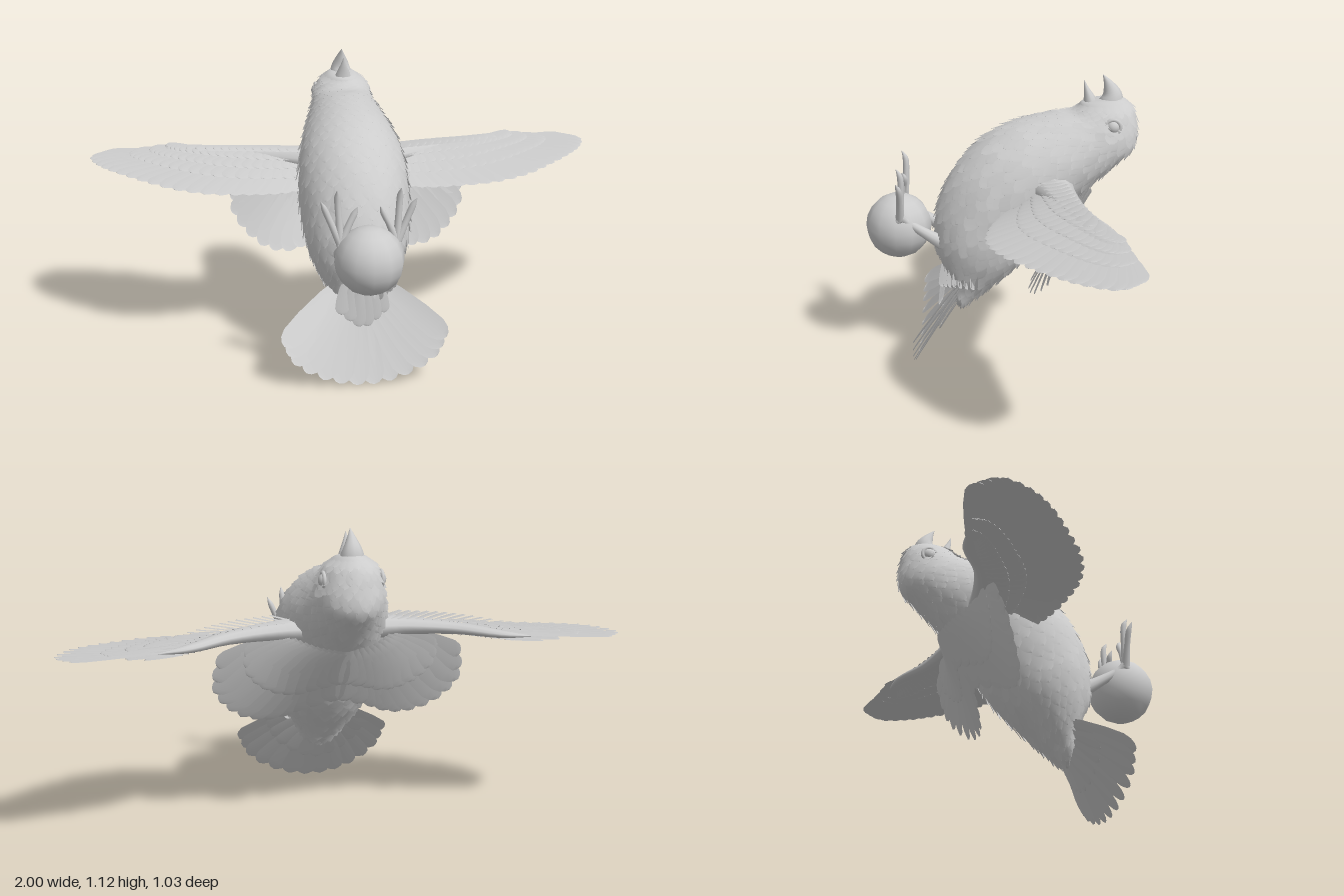
import * as THREE from 'three';
import { mergeGeometries, mergeVertices } from 'three/addons/utils/BufferGeometryUtils.js';

const V = (x, y, z) => new THREE.Vector3(x, y, z);
const curve = (pts, s = 1) => new THREE.CatmullRomCurve3(pts.map(p => V(p[0] * s, p[1], p[2])));
const solid = new THREE.MeshStandardMaterial({ color: 0xcccccc });
const thin = new THREE.MeshStandardMaterial({ color: 0xcccccc, side: THREE.DoubleSide });

// Grid surface from fn(u, v), outward side is du x dv
function surface(fn, nu, nv) {
  const pos = [], idx = [];
  for (let i = 0; i <= nu; i++)
    for (let j = 0; j <= nv; j++) pos.push(...fn(i / nu, j / nv).toArray());
  for (let i = 0; i < nu; i++)
    for (let j = 0; j < nv; j++) {
      const a = i * (nv + 1) + j, b = a + nv + 1;
      idx.push(a, b, a + 1, b, b + 1, a + 1);
    }
  let g = new THREE.BufferGeometry();
  g.setAttribute('position', new THREE.Float32BufferAttribute(pos, 3));
  g.setIndex(idx);
  g = mergeVertices(g, 1e-5);
  g.computeVertexNormals();
  return g;
}

// Tapered tube: radii along the path, flattened towards 'up'
function taper(pts, radii, s = 1, up = V(0, 0, 1), flat = 1, nv = 10) {
  const c = curve(pts, s);
  const r = curve(radii.map((q, i) => [q, i, 0]));
  return surface((u, v) => {
    const t = c.getTangent(u), n = up.clone().addScaledVector(t, -up.dot(t)).normalize();
    const b = n.clone().cross(t), a = v * Math.PI * 2, q = Math.max(r.getPoint(u).x, 0.0005);
    return c.getPoint(u).addScaledVector(n, Math.cos(a) * q * flat).addScaledVector(b, Math.sin(a) * q);
  }, 16, nv);
}

// Long feather blade with a rounded tip, slightly ridged and tilted so neighbours overlap
const BLADE = [[0, 0.35], [0.25, 0.75], [0.6, 1], [0.85, 1], [0.94, 0.75], [0.985, 0.4], [1, 0.05]];
function blade(base, tip, width, up, tilt) {
  const d = tip.clone().sub(base), side = up.clone().cross(d).normalize();
  const n = d.clone().cross(side).normalize();
  return surface((u, v) => {
    const [t, w] = BLADE[Math.round(u * 6)], k = v * 2 - 1;
    return base.clone().addScaledVector(d, t).addScaledVector(side, k * w * width / 2)
      .addScaledVector(n, k * w * tilt + (1 - k * k) * 0.003);
  }, 6, 2);
}

// Row of blades between a base curve and a tip curve
function fan(bases, tips, n, width, up, s = 1, lift = 0) {
  const a = curve(bases, s), b = curve(tips, s), list = [], off = up.clone().multiplyScalar(lift);
  for (let i = 0; i < n; i++) {
    const t = i / (n - 1);
    list.push(blade(a.getPoint(t).add(off), b.getPoint(t).add(off), width, up, 0.005 * s));
  }
  return mergeGeometries(list);
}

// Body sections: belly z, y, back z, y, half width
const SECTIONS = [
  [-0.36, 1.03, -0.38, 1.03, 0.004], [-0.3, 1.02, -0.45, 1.035, 0.05], [-0.285, 1.0, -0.485, 1.0, 0.085],
  [-0.265, 0.985, -0.5, 0.93, 0.105], [-0.22, 0.98, -0.495, 0.85, 0.118], [-0.15, 0.965, -0.43, 0.785, 0.14],
  [-0.05, 0.935, -0.35, 0.715, 0.17], [0.05, 0.88, -0.265, 0.635, 0.195], [0.135, 0.8, -0.195, 0.53, 0.205],
  [0.2, 0.7, -0.13, 0.44, 0.2], [0.24, 0.58, -0.06, 0.37, 0.185], [0.245, 0.46, 0.02, 0.3, 0.145],
  [0.21, 0.37, 0.09, 0.24, 0.1], [0.18, 0.28, 0.14, 0.2, 0.065], [0.17, 0.22, 0.165, 0.19, 0.01]];
const belly = curve(SECTIONS.map(q => [q[4], q[1], q[0]]));
const back = curve(SECTIONS.map(q => [0, q[3], q[2]]));
function bodyPoint(u, v, lift = 0) {
  const f = belly.getPoint(u), b = back.getPoint(u), w = f.x, a = v * Math.PI * 2;
  f.x = 0;
  const c = f.clone().add(b).multiplyScalar(0.5), h = f.sub(c);
  const o = h.multiplyScalar(Math.cos(a)).add(V(Math.sin(a) * w, 0, 0));
  const len = o.length();
  return c.addScaledVector(o, (len + lift) / Math.max(len, 1e-4));
}

// Overlapping scale feathers over the whole body
function plumage() {
  const rows = 36, list = [];
  let seed = 7;
  const rnd = () => (seed = (seed * 16807) % 2147483647) / 2147483647;
  const shape = [0.9, 1, 0.95, 0.6, 0.05];
  for (let r = 0; r < rows; r++) {
    const u0 = 0.1 + 0.85 * r / rows, n = r < 8 ? 20 : r > 29 ? 16 : 26;
    for (let i = 0; i < n; i++) {
      const v0 = (i + (r % 2) * 0.5 + (rnd() - 0.5) * 0.3) / n;
      const len = 0.042 + rnd() * 0.016, top = 0.008 + rnd() * 0.008;
      list.push(surface((u, v) => {
        const k = v * 2 - 1, w = shape[Math.round(u * 4)];
        return bodyPoint(Math.min(u0 + len * (1 - (1 - u) ** 1.4), 1), v0 + k * w * 0.58 / n,
          -0.002 + top * u + (1 - k * k) * 0.002);
      }, 4, 2));
    }
  }
  return mergeGeometries(list);
}

export function createModel() {
  const model = new THREE.Group();
  const add = (name, geo, mat = solid, parent = model) => {
    const m = new THREE.Mesh(geo, mat);
    m.name = name;
    parent.add(m);
    return m;
  };

  add('body', surface((u, v) => bodyPoint(u, v), 56, 32));
  add('bodyFeathers', plumage(), thin);

  // Open beak pointing up
  add('upperBeak', taper([[0, 1.0, -0.405], [0, 1.045, -0.41], [0, 1.09, -0.393], [0, 1.12, -0.375]],
    [0.05, 0.037, 0.016, 0.001]));
  add('lowerBeak', taper([[0, 0.99, -0.335], [0, 1.03, -0.328], [0, 1.07, -0.315], [0, 1.1, -0.307]],
    [0.04, 0.029, 0.012, 0.001], 1, V(0, 0, 1), 0.75));

  // Ball held between the feet
  add('ball', new THREE.SphereGeometry(0.125, 12, 10)).position.set(0, 0.53, 0.385);

  const up = V(0, 1, 0), rear = V(0, -0.45, -0.9).normalize();
  for (const s of [1, -1]) {
    const side = s > 0 ? 'left' : 'right';
    const eye = add(side + 'Eye', new THREE.SphereGeometry(0.026, 16, 12));
    eye.position.set(s * 0.093, 0.95, -0.41);
    const ring = add(side + 'EyeRing', new THREE.TorusGeometry(0.027, 0.007, 8, 20));
    ring.position.set(s * 0.101, 0.95, -0.41);
    ring.rotation.y = Math.PI / 2;

    // Wing: arm, flight feathers and covert rows
    const wing = new THREE.Group();
    wing.name = side + 'Wing';
    model.add(wing);
    add('wingArm', taper([[0.1, 0.735, -0.18], [0.25, 0.74, -0.22], [0.42, 0.735, -0.28], [0.56, 0.725, -0.37], [0.66, 0.72, -0.4]],
      [0.09, 0.06, 0.04, 0.025, 0.004], s, up, 0.55), solid, wing);
    const arm = [[0.63, 0.72, -0.38], [0.58, 0.72, -0.36], [0.5, 0.725, -0.32], [0.4, 0.73, -0.27], [0.28, 0.73, -0.22], [0.16, 0.73, -0.18]];
    const tips = [[0.95, 0.716, -0.44], [1.0, 0.716, -0.38], [0.97, 0.715, -0.28], [0.9, 0.71, -0.19], [0.8, 0.7, -0.1],
      [0.68, 0.69, -0.01], [0.55, 0.68, 0.035], [0.42, 0.67, 0.03], [0.3, 0.66, 0.005], [0.2, 0.66, -0.03]];
    add('flightFeathers', fan(arm, tips, 24, 0.085, up, s), thin, wing);
    // each covert row reaches part of the way to the flight tips
    const armCurve = curve(arm);
    [[0.62, 22, 0.07, 0.008], [0.42, 22, 0.06, 0.018], [0.24, 20, 0.055, 0.028]].forEach(([k, n, w, lift], i) => {
      const mid = tips.map((p, j) => armCurve.getPoint(j / 9).lerp(V(...p), k).toArray());
      add('upperCoverts' + (i + 1), fan(arm, mid, n, w, up, s, lift), thin, wing);
      if (i) add('lowerCoverts' + i, fan(arm, mid, n, w, up, s, -lift * 0.7), thin, wing);
    });
    const lead = [[0.14, 0.755, -0.23], [0.3, 0.755, -0.265], [0.45, 0.745, -0.31], [0.62, 0.73, -0.39]];
    add('leadingFeathers', fan(lead, [[0.24, 0.77, -0.15], [0.4, 0.765, -0.2], [0.55, 0.75, -0.28], [0.74, 0.725, -0.4]],
      16, 0.05, up, s, 0.012), thin, wing);

    // Cape of feathers over the back, two layers
    const root = [[0.2, 0.725, -0.24], [0.15, 0.71, -0.27], [0.08, 0.69, -0.31], [0.01, 0.68, -0.33]];
    const cape = [[0.45, 0.63, -0.235], [0.46, 0.53, -0.2], [0.41, 0.45, -0.16], [0.33, 0.395, -0.12],
      [0.24, 0.385, -0.11], [0.15, 0.42, -0.14], [0.03, 0.46, -0.19]];
    add(side + 'BackFeathers', fan(root, cape, 12, 0.085, rear, s), thin);
    const rootCurve = curve(root);
    add(side + 'BackCoverts', fan(root, cape.map((p, j) => rootCurve.getPoint(j / 6).lerp(V(...p), 0.6).toArray()),
      11, 0.075, rear, s, 0.015), thin);

    // Thigh tuft, leg and toes
    add(side + 'ThighTuft', fan([[0.06, 0.44, 0.2], [0.11, 0.45, 0.15], [0.13, 0.45, 0.09]],
      [[0.06, 0.3, 0.215], [0.12, 0.32, 0.16], [0.135, 0.32, 0.09]], 7, 0.05, V(s * 0.6, 0, 0.8)), thin);
    const leg = new THREE.Group();
    leg.name = side + 'Leg';
    model.add(leg);
    add('shank', taper([[0.08, 0.48, 0.2], [0.085, 0.53, 0.28], [0.09, 0.575, 0.345], [0.1, 0.6, 0.37]],
      [0.03, 0.02, 0.015, 0.017], s, up), solid, leg);
    const toes = [[[0.07, 0.66, 0.368], [0.05, 0.7, 0.365], [0.04, 0.725, 0.372]],
      [[0.105, 0.68, 0.364], [0.11, 0.76, 0.364], [0.112, 0.79, 0.378]],
      [[0.13, 0.66, 0.366], [0.155, 0.72, 0.366], [0.168, 0.75, 0.375]],
      [[0.1, 0.57, 0.385], [0.103, 0.55, 0.39], [0.106, 0.535, 0.385]]];
    toes.forEach((p, i) => add('toe' + (i + 1), taper([[0.1, 0.59, 0.37], ...p], [0.016, 0.012, 0.011, 0.001], s), solid, leg));
  }

  // Spread tail with coverts at its root
  const tailRoot = [[-0.07, 0.35, 0.135], [-0.035, 0.29, 0.15], [0, 0.25, 0.15], [0.035, 0.29, 0.15], [0.07, 0.35, 0.135]];
  const tailTips = [[-0.3, 0.18, 0.315], [-0.26, 0.1, 0.32], [-0.14, 0.03, 0.32], [0, 0.005, 0.32],
    [0.14, 0.03, 0.32], [0.26, 0.1, 0.32], [0.3, 0.18, 0.315]];
  add('tailFeathers', fan(tailRoot, tailTips, 14, 0.085, rear), thin);
  const tailCurve = curve(tailRoot);
  add('tailCoverts', fan(tailRoot, tailTips.map((p, j) => tailCurve.getPoint(j / 6).lerp(V(...p), 0.55).toArray()),
    11, 0.06, rear, 1, 0.012), thin);
  add('underTailFeathers', fan([[-0.06, 0.38, 0.2], [0, 0.36, 0.22], [0.06, 0.38, 0.2]],
    [[-0.08, 0.25, 0.22], [0, 0.2, 0.235], [0.08, 0.25, 0.22]], 6, 0.05, V(0, 0.3, 0.95)), thin);

  return model;
}
